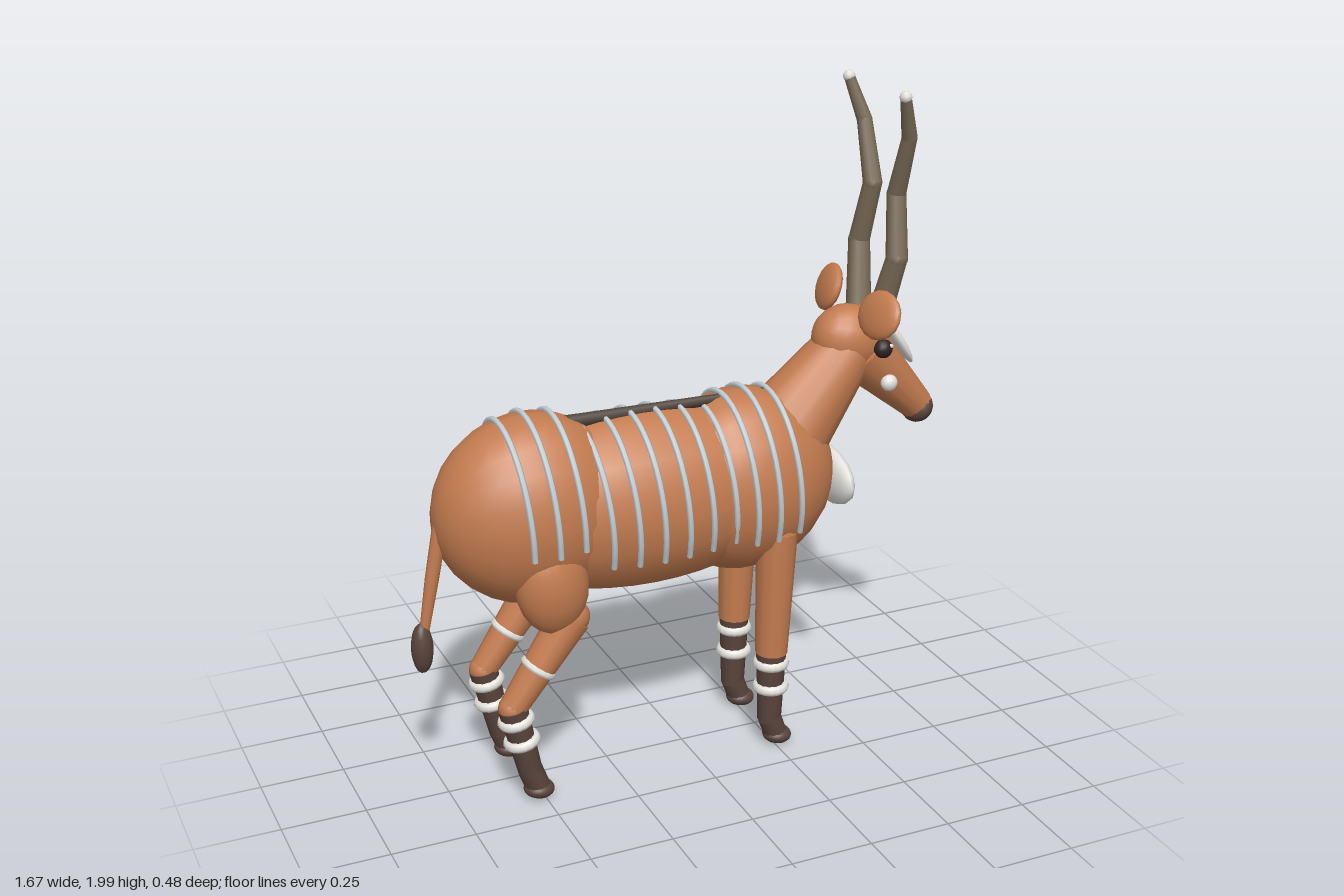
import * as THREE from 'three';

const mat = (name, color) => {
  const m = new THREE.MeshStandardMaterial({ color });
  m.name = name;
  return m;
};
const V = (x, y, z = 0) => new THREE.Vector3(x, y, z);

export function createModel() {
  const model = new THREE.Group();
  model.name = 'antelope';
  const coat = mat('chestnut coat', 0xc47c50);
  const white = mat('white marking', 0xe4e2dc);
  const stripeMat = mat('pale stripe', 0xc6d2d8);
  const dark = mat('dark brown', 0x5a443c);
  const maneMat = mat('mane brown', 0x4a3e34);
  const hornMat = mat('horn', 0x786a56);
  const black = mat('eye', 0x2c2422);

  const add = (name, geo, material, parent = model) => {
    const mesh = new THREE.Mesh(geo, material);
    mesh.name = name;
    parent.add(mesh);
    return mesh;
  };
  // Ellipsoid with its poles along x, tilted about z
  const blob = (name, c, r, material, tilt = 0, parent = model, seg = 16) => {
    const geo = new THREE.SphereGeometry(1, seg, Math.round(seg * 0.75)).rotateZ(Math.PI / 2);
    geo.scale(...r);
    const mesh = add(name, geo, material, parent);
    mesh.position.copy(c);
    mesh.rotation.z = tilt;
    return mesh;
  };
  // Tapered round limb between two points
  const limb = (name, a, b, ra, rb, material, parent = model, seg = 12) => {
    const d = b.clone().sub(a);
    const mesh = add(name, new THREE.CylinderGeometry(rb, ra, d.length(), seg), material, parent);
    mesh.position.copy(a).addScaledVector(d, 0.5);
    mesh.quaternion.setFromUnitVectors(V(0, 1, 0), d.normalize());
    return mesh;
  };
  // Rounded ring around a limb
  const band = (name, c, dir, r, tube, parent) => {
    const mesh = add(name, new THREE.TorusGeometry(r - tube, tube, 8, 16), white, parent);
    mesh.position.copy(c);
    mesh.quaternion.setFromUnitVectors(V(0, 0, 1), dir.clone().normalize());
    mesh.scale.z = 0.85;
  };

  // Body masses, each with its hoop stripes
  const masses = [
    { name: 'rump', c: V(-0.47, 0.87), r: [0.29, 0.283, 0.215], end: 1.85, xs: [-0.56, -0.485, -0.405] },
    { name: 'barrel', c: V(-0.13, 0.845), r: [0.55, 0.268, 0.213], end: 2.08,
      xs: [-0.32, -0.243, -0.166, -0.089, -0.012, 0.065] },
    { name: 'chest', c: V(0.19, 0.85), r: [0.29, 0.28, 0.217], end: 2.08, xs: [0.125, 0.195, 0.27] },
  ];
  for (const { name, c, r, end, xs } of masses) {
    if (name === 'barrel') {
      // Barrel is the middle slice of a long ellipsoid
      const profile = [];
      for (let i = 0; i <= 8; i++) {
        const u = -0.28 + i * 0.07;
        profile.push(new THREE.Vector2(Math.sqrt(1 - (u / r[0]) ** 2), u));
      }
      const geo = new THREE.LatheGeometry(profile, 18).rotateZ(-Math.PI / 2).scale(1, r[1], r[2]);
      add(name, geo, coat).position.copy(c);
    } else blob(name, c, r, coat, 0, model, 20);
    for (const x of xs) {
      const pts = [];
      for (let i = 0; i <= 16; i++) {
        const t = end * (i / 8 - 1);
        const px = x + 0.03 * (1 - Math.cos(t)) / 1.4;
        const s = Math.sqrt(1 - ((px - c.x) / r[0]) ** 2);
        pts.push(V(px, c.y + (r[1] * s + 0.002) * Math.cos(t), (r[2] * s + 0.002) * Math.sin(t)));
      }
      add(name + 'Stripe', new THREE.TubeGeometry(new THREE.CatmullRomCurve3(pts), 28, 0.009, 6), stripeMat);
    }
  }
  blob('chestPatch', V(0.48, 0.82), [0.042, 0.092, 0.165], white, 0.05);

  // Dorsal mane
  limb('mane', V(-0.385, 1.108), V(0.27, 1.108), 0.023, 0.014, maneMat, model, 8);

  // Neck and head
  limb('neck', V(0.31, 0.95), V(0.535, 1.21), 0.145, 0.092, coat, model, 14);
  blob('skull', V(0.54, 1.235), [0.115, 0.105, 0.092], coat, -0.4);
  limb('muzzle', V(0.575, 1.2), V(0.79, 0.985), 0.095, 0.05, coat, model, 14);
  blob('nose', V(0.788, 0.982), [0.043, 0.05, 0.056], dark, -0.8);
  blob('blaze', V(0.71, 1.205), [0.09, 0.017, 0.036], white, -0.98);

  for (const s of [1, -1]) {
    const side = s > 0 ? 'right' : 'left';
    const S = (x, y, z) => V(x, y, z * s);
    const face = new THREE.Group();
    face.name = side + 'FaceParts';
    model.add(face);
    blob('eye', S(0.61, 1.22, 0.09), [0.029, 0.029, 0.025], black, 0, face, 12);
    blob('eyeGlint', S(0.627, 1.231, 0.106), [0.007, 0.007, 0.007], white, 0, face, 8);
    blob('cheekSpot', S(0.637, 1.108, 0.085), [0.026, 0.026, 0.022], white, 0, face, 12);

    // Cupped ear with a pale lining plate
    const ear = new THREE.Group();
    ear.name = side + 'Ear';
    ear.position.copy(S(0.555, 1.35, 0.155));
    ear.rotation.set(0, s * 0.2, -0.35);
    model.add(ear);
    blob('earShell', V(0, 0, 0), [0.026, 0.073, 0.085], coat, 0, ear);
    const lining = new THREE.Shape([[-0.035, 0.035], [0.032, 0.03], [0.022, -0.038], [-0.02, -0.03]]
      .map(([z, y]) => new THREE.Vector2(z, y)));
    const plate = new THREE.ExtrudeGeometry(lining, { depth: 0.008, bevelEnabled: false });
    add('earLining', plate.rotateY(Math.PI / 2), stripeMat, ear).position.set(0.021, 0.002, s * 0.015);

    // Spiral horn in tapering sections
    const horn = new THREE.Group();
    horn.name = side + 'Horn';
    model.add(horn);
    const path = [S(0.605, 1.3, 0.058), S(0.63, 1.5, 0.112), S(0.645, 1.68, 0.07), S(0.645, 1.855, 0.13), S(0.608, 1.98, 0.164)];
    const radii = [0.039, 0.033, 0.029, 0.023, 0.016];
    for (let i = 0; i < 4; i++) {
      limb('hornSection', path[i], path[i + 1], radii[i], radii[i + 1], hornMat, horn, 10);
      blob('hornJoint', path[i], Array(3).fill(radii[i]), hornMat, 0, horn, 10);
    }
    blob('hornTip', path[4], [0.018, 0.018, 0.018], white, 0, horn, 10);

    // Foreleg
    const fore = new THREE.Group();
    fore.name = side + 'Foreleg';
    model.add(fore);
    blob('shoulder', S(0.25, 0.7, 0.13), [0.058, 0.08, 0.06], coat, 0, fore);
    limb('upperForeleg', S(0.25, 0.72, 0.13), S(0.238, 0.32, 0.13), 0.062, 0.049, coat, fore);
    limb('foreShin', S(0.238, 0.33, 0.13), S(0.235, 0.09, 0.13), 0.046, 0.036, dark, fore);
    limb('forePastern', S(0.235, 0.1, 0.13), S(0.257, 0.04, 0.13), 0.037, 0.036, dark, fore);
    blob('foreHoof', S(0.262, 0.034, 0.13), [0.045, 0.028, 0.043], dark, -0.1, fore);
    for (const y of [0.285, 0.205]) band('foreBand', S(0.238, y, 0.13), V(0, 1, 0), 0.056, 0.02, fore);

    // Hind leg
    const hind = new THREE.Group();
    hind.name = side + 'HindLeg';
    model.add(hind);
    const knee = S(-0.405, 0.57, 0.13), hock = S(-0.588, 0.315, 0.13), fetlock = S(-0.538, 0.09, 0.13);
    blob('thigh', S(-0.46, 0.685, 0.13), [0.108, 0.158, 0.085], coat, 0.1, hind);
    blob('knee', knee, [0.056, 0.056, 0.056], coat, 0, hind, 12);
    limb('gaskin', knee, hock, 0.06, 0.041, coat, hind);
    blob('hock', hock, [0.042, 0.042, 0.042], coat, 0, hind, 12);
    limb('hindShin', hock, fetlock, 0.044, 0.036, dark, hind);
    limb('hindPastern', S(-0.54, 0.1, 0.13), S(-0.517, 0.04, 0.13), 0.037, 0.036, dark, hind);
    blob('hindHoof', S(-0.515, 0.034, 0.13), [0.046, 0.028, 0.043], dark, -0.1, hind);
    const shin = fetlock.clone().sub(hock);
    for (const t of [0.18, 0.49]) band('hindBand', hock.clone().addScaledVector(shin, t), shin, 0.056, 0.02, hind);
    const gaskin = hock.clone().sub(knee);
    band('gaskinBand', knee.clone().addScaledVector(gaskin, 0.56), gaskin, 0.056, 0.015, hind);
  }

  // Tail
  const tail = [V(-0.735, 0.88), V(-0.77, 0.7), V(-0.8, 0.54)];
  limb('tailRoot', tail[0], tail[1], 0.022, 0.02, coat, model, 10);
  limb('tailEnd', tail[1], tail[2], 0.02, 0.014, coat, model, 10);
  blob('tailTuft', V(-0.808, 0.492), [0.032, 0.08, 0.032], dark, 0, model, 12);
  return model;
}
